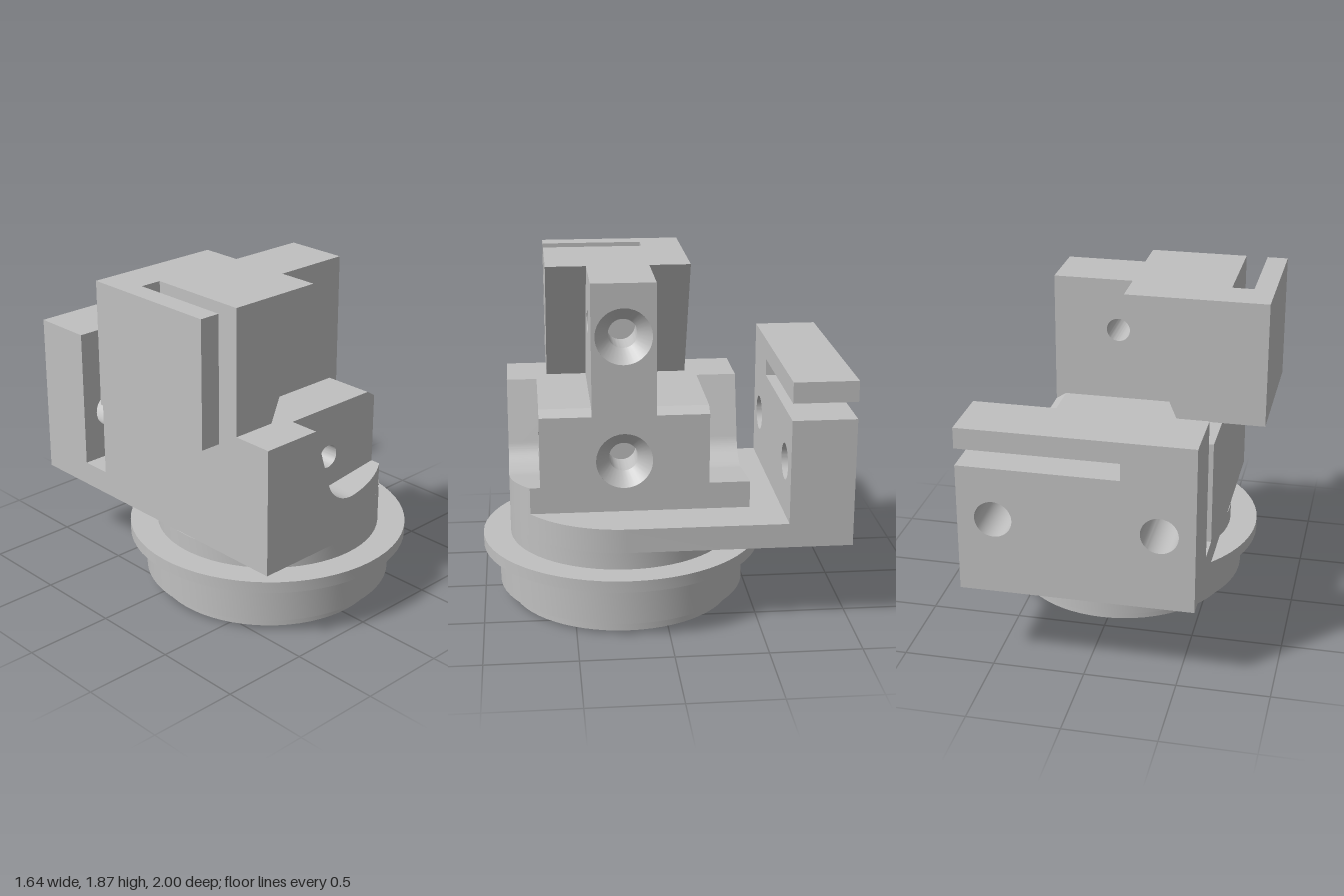
import * as THREE from 'three';
import { toCreasedNormals } from 'three/addons/utils/BufferGeometryUtils.js';

const CX = 0.035, CZ = 0.215, R = 0.63; // axis and radius of the round base
const DEG = Math.PI / 180;

export function createModel() {
  const model = new THREE.Group();
  model.name = 'toolMount';
  const grey = new THREE.MeshStandardMaterial({ color: 0xc0c0c0, side: THREE.DoubleSide });
  grey.name = 'machined grey';

  const add = (name, geometry) => {
    const mesh = new THREE.Mesh(geometry, grey);
    mesh.name = name;
    model.add(mesh);
    return mesh;
  };
  const poly = (pts) => new THREE.Shape(pts.map(([x, y]) => new THREE.Vector2(x, y)));
  const rect = (x0, y0, x1, y1) => poly([[x0, y0], [x1, y0], [x1, y1], [x0, y1]]);
  const drill = (shape, holes) => {
    for (const [x, y, r] of holes) shape.holes.push(new THREE.Path().absarc(x, y, r, 0, Math.PI * 2, true));
    return shape;
  };
  const extrude = (shape, depth) =>
    new THREE.ExtrudeGeometry(shape, { depth, bevelEnabled: false, curveSegments: 32 });
  const finish = (g) => toCreasedNormals(g, 0.5);
  // Extrusions along each axis; shapes use (x, y), (-z, y) and (x, -z)
  const alongZ = (name, shape, z0, z1) => add(name, finish(extrude(shape, z1 - z0).translate(0, 0, z0)));
  const alongX = (name, shape, x0, x1) =>
    add(name, finish(extrude(shape, x1 - x0).rotateY(Math.PI / 2).translate(x0, 0, 0)));
  const alongY = (name, shape, y0, y1) =>
    add(name, finish(extrude(shape, y1 - y0).rotateX(-Math.PI / 2).translate(0, y0, 0)));

  // Round stepped base with three holes underneath
  const disc = (r, holes = []) => drill(new THREE.Shape().absarc(CX, -CZ, r, 0, Math.PI * 2), holes);
  const baseHoles = (r) => [[CX, -CZ, 0.12], [CX, -CZ - 0.35, r], [CX, -CZ + 0.35, r]];
  alongY('baseFoot', disc(R, baseHoles(0.15)), 0, 0.07);
  alongY('baseRing', disc(0.695, baseHoles(0.1)), 0.07, 0.295);
  alongY('baseFlange', disc(0.785), 0.295, 0.36);
  alongY('baseNeck', disc(R), 0.36, 0.455);
  for (const s of [-1, 1]) {
    add('baseCountersink', new THREE.CylinderGeometry(0.1, 0.15, 0.07, 32, 1, true))
      .position.set(CX, 0.035, CZ + s * 0.35);
  }

  // Floor plate with one rounded corner and two holes from below
  const plate = new THREE.Shape();
  plate.moveTo(-0.59, -CZ - R);
  plate.lineTo(CX, -CZ - R);
  plate.absarc(CX, -CZ, R, -Math.PI / 2, 0, false);
  plate.lineTo(0.665, 1);
  plate.lineTo(-0.59, 1);
  plate.closePath();
  drill(plate, [[CX + 0.2, 0.825, 0.08], [CX - 0.2, 0.825, 0.08]]);
  alongY('floorPlate', plate, 0.455, 0.59);

  // Back wall with an open slot and two through holes
  const wall = poly([[-0.59, 0.59], [0.665, 0.59], [0.665, 1.17], [-0.2, 1.17],
    [-0.2, 1.265], [0.665, 1.265], [0.665, 1.38], [-0.59, 1.38]]);
  alongZ('backWall', drill(wall, [[CX + 0.437, 0.88, 0.1], [CX - 0.437, 0.88, 0.1]]), -1, -0.65);

  // Outer cheeks of the body, cut away by a curved recess
  const cheek = (xEnd, yEnd, endAngle) => {
    const s = new THREE.Shape();
    s.moveTo(-0.59, 0.59);
    s.lineTo(xEnd, 0.59);
    s.lineTo(xEnd, yEnd);
    s.absarc(CX, 0.88, 0.18, endAngle * DEG, 196 * DEG, true);
    s.lineTo(-0.245, 1.17);
    s.lineTo(-0.59, 1.17);
    s.closePath();
    return s;
  };
  alongZ('backCheek', cheek(0.395, 0.74, 276.3), -0.475, -0.25);
  alongZ('frontCheek', cheek(CX, 0.7, 270), 0.675, CZ + R);

  // Rounded ledge continuing the front recess floor
  const ledge = new THREE.BoxGeometry(0.36, 1, 1, 16, 1, 1).translate(CX + 0.18, 0, 0);
  const p = ledge.attributes.position;
  for (let i = 0; i < p.count; i++) {
    const x = p.getX(i);
    p.setY(i, p.getY(i) < 0 ? 0.59 : 0.7 + Math.max(0, x - 0.055) * 0.118);
    p.setZ(i, p.getZ(i) < 0 ? 0.67 : CZ + Math.sqrt(R * R - (x - CX) ** 2));
  }
  ledge.computeVertexNormals();
  add('frontLedge', ledge);

  // Inner shoulders with a chamfered top edge and a cross hole
  const shoulder = () => drill(poly([[-0.59, 0.59], [0.395, 0.59], [0.395, 1.135], [0.34, 1.17], [-0.59, 1.17]]),
    [[CX, 0.88, 0.065]]);
  alongZ('backShoulder', shoulder(), -0.25, 0.04);
  alongZ('frontShoulder', shoulder(), 0.39, 0.675);

  // Central web: cross holes behind, two countersunk holes on its end face
  const heights = [0.88, 1.575];
  const XM = 0.135, XS = 0.32, XE = 0.395;
  alongZ('centralWeb', drill(rect(-0.59, 0.59, XM, 1.865), heights.map((y) => [CX, y, 0.065])), 0.04, 0.39);
  const webEnd = (r) => drill(rect(-0.39, 0.59, -0.04, 1.865), heights.map((y) => [-CZ, y, r]));
  alongX('webEnd', webEnd(0.08), XM, XS);
  alongX('webFace', webEnd(0.155), XS, XE);
  for (const y of heights) {
    add('webCountersink', new THREE.CylinderGeometry(0.155, 0.08, XE - XS, 32, 1, true).rotateZ(-Math.PI / 2))
      .position.set((XS + XE) / 2, y, CZ);
  }

  // Upper head: slanted side blocks and the overhanging hook arm
  const head = (x0) => poly([[x0, 1.17], [-0.34, 1.17], [-0.045, 1.865], [x0, 1.865]]);
  alongZ('headBack', head(-0.825), -0.19, 0.04);
  alongZ('headFront', head(-0.59), 0.39, 0.615);
  alongZ('hookArm', rect(-0.825, 1.17, -0.71, 1.865), 0.04, 0.615);

  return model;
}
